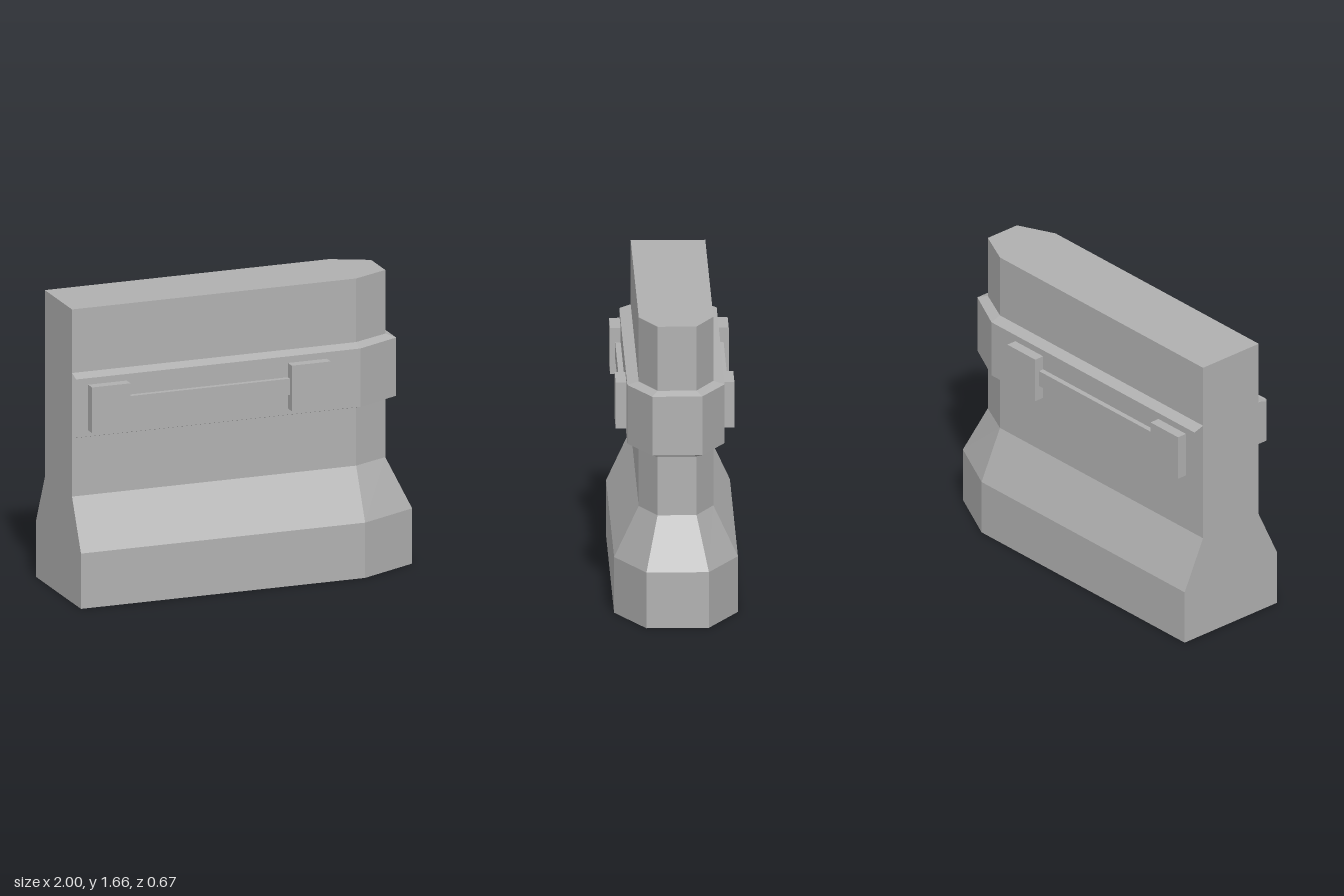
import * as THREE from 'three';

const END = -1, SHOULDER = 0.66;

// Outline at one height: square at the -x end, chamfered nose at +x
const ring = ({ y, w, n, nose }) => [
  [END, y, w], [SHOULDER, y, w], [nose, y, n],
  [nose, y, -n], [SHOULDER, y, -w], [END, y, -w],
];

// Skin a stack of outlines; a solid one also gets its end wall, top and bottom
function loft(levels, solid) {
  const rings = levels.map(ring);
  const pos = [];
  const tri = (a, b, c) => pos.push(...a, ...b, ...c);
  for (let i = 0; i < rings.length - 1; i++) {
    const lo = rings[i], hi = rings[i + 1];
    const sides = solid ? 6 : 5;
    for (let j = 0; j < sides; j++) {
      const k = (j + 1) % 6;
      tri(lo[j], lo[k], hi[k]);
      tri(lo[j], hi[k], hi[j]);
    }
  }
  if (solid) {
    const b = rings[0], t = rings[rings.length - 1];
    for (let j = 1; j < 5; j++) {
      tri(t[0], t[j], t[j + 1]);
      tri(b[0], b[j + 1], b[j]);
    }
  }
  const g = new THREE.BufferGeometry();
  g.setAttribute('position', new THREE.Float32BufferAttribute(pos, 3));
  g.computeVertexNormals();
  return g;
}

export function createModel() {
  const group = new THREE.Group();
  const concrete = new THREE.MeshStandardMaterial({ color: 0xb0b0b0 });
  concrete.name = 'concrete grey';

  const add = (name, geometry) => {
    const mesh = new THREE.Mesh(geometry, concrete);
    mesh.name = name;
    group.add(mesh);
    return mesh;
  };

  // Wall with flared foot
  const foot = { w: 0.337, n: 0.17, nose: 1 };
  const wall = { w: 0.203, n: 0.106, nose: 0.868 };
  add('wall', loft([
    { y: 0, ...foot }, { y: 0.313, ...foot },
    { y: 0.6, ...wall }, { y: 1.66, ...wall },
  ], true));

  // Raised band wrapped round the wall, open at the flat end
  const band = { w: 0.265, n: 0.136, nose: 0.92 };
  add('band', loft([
    { y: 0.93, ...wall }, { y: 0.95, ...band },
    { y: 1.28, ...band }, { y: 1.3, ...wall },
  ], false));

  // Rail held by two blocks, on both faces
  const box = (name, x0, x1, y0, y1, z0, z1, side) =>
    add(name, new THREE.BoxGeometry(x1 - x0, y1 - y0, z1 - z0))
      .position.set((x0 + x1) / 2, (y0 + y1) / 2, side * (z0 + z1) / 2);
  for (const side of [1, -1]) {
    const label = side > 0 ? 'front' : 'back';
    box(label + 'EndBlock', -0.93, -0.705, 0.985, 1.243, 0.26, 0.323, side);
    box(label + 'NoseBlock', 0.237, 0.465, 0.985, 1.243, 0.26, 0.323, side);
    box(label + 'Rail', -0.72, 0.25, 1.07, 1.162, 0.26, 0.295, side);
  }
  return group;
}
